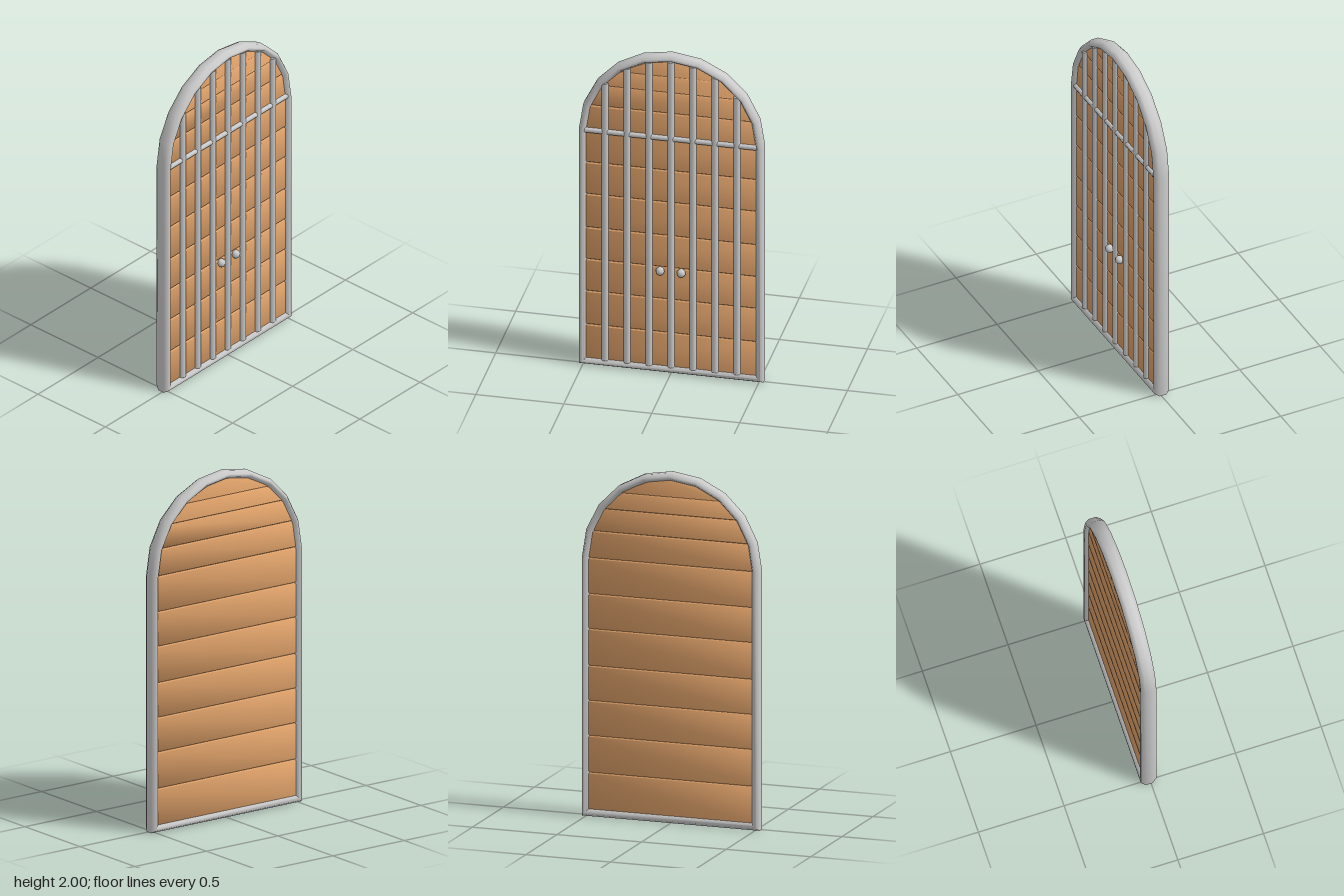
import * as THREE from 'three';
import { toCreasedNormals } from 'three/addons/utils/BufferGeometryUtils.js';

const metal = new THREE.MeshStandardMaterial({ color: 0xcccccc });
const wood = new THREE.MeshStandardMaterial({ color: 0xe0a26a });
const HALF = 0.525, SPRING = 1.475; // arch radius and springing height

function part(parent, name, geometry, material, x = 0, y = 0, z = 0) {
  const mesh = new THREE.Mesh(geometry, material);
  mesh.name = name;
  mesh.position.set(x, y, z);
  parent.add(mesh);
  return mesh;
}

// Outline of the door, moved inward by `inset`, counter-clockwise
function outline(inset) {
  const r = HALF - inset;
  const points = [[-r, inset], [r, inset]];
  for (let i = 0; i <= 10; i++) {
    const a = (i * Math.PI) / 10;
    points.push([r * Math.cos(a), SPRING + r * Math.sin(a)]);
  }
  return points;
}

// Eight-sided frame section swept around the outline
function frameGeometry() {
  const section = [
    [0, -0.03], [0, 0.01], [0.015, 0.035], [0.03, 0.035],
    [0.045, 0.01], [0.045, -0.03], [0.03, -0.055], [0.015, -0.055],
  ];
  const loops = section.map(([inset, z]) => outline(inset).map(([x, y]) => [x, y, z]));
  const positions = [];
  const count = loops[0].length;
  for (let s = 0; s < section.length; s++) {
    const near = loops[s], far = loops[(s + 1) % section.length];
    for (let i = 0; i < count; i++) {
      const j = (i + 1) % count;
      for (const p of [near[i], near[j], far[j], near[i], far[j], far[i]]) positions.push(...p);
    }
  }
  const geometry = new THREE.BufferGeometry();
  geometry.setAttribute('position', new THREE.Float32BufferAttribute(positions, 3));
  return toCreasedNormals(geometry, 1.2);
}

// Half width of the planking at height y; ends are buried in the frame
function plankHalf(y) {
  return y <= SPRING ? 0.5 : Math.sqrt(0.25 - (y - SPRING) ** 2);
}

// Chamfered plank, trimmed to the arch
function plankGeometry(y0, y1) {
  const a = plankHalf(y0), b = plankHalf(y1);
  const shape = new THREE.Shape([
    new THREE.Vector2(-a, y0), new THREE.Vector2(a, y0),
    new THREE.Vector2(b, y1), new THREE.Vector2(-b, y1),
  ]);
  const geometry = new THREE.ExtrudeGeometry(shape, {
    depth: 0.034, bevelThickness: 0.008, bevelSize: 0.007, bevelOffset: -0.007, bevelSegments: 1,
  });
  return toCreasedNormals(geometry, 1);
}

export function createModel() {
  const door = new THREE.Group();
  door.name = 'archedDoor';

  part(door, 'frame', frameGeometry(), metal);

  // Horizontal planks
  const planks = new THREE.Group();
  planks.name = 'planks';
  door.add(planks);
  const joints = [0.03, 0.25, 0.46, 0.66, 0.86, 1.07, 1.27, SPRING, 1.63, 1.76, 1.86, 1.97];
  for (let i = 0; i < joints.length - 1; i++) {
    part(planks, 'plank' + (i + 1), plankGeometry(joints[i], joints[i + 1]), wood, 0, 0, -0.027);
  }

  // Vertical bars, reaching up into the arch
  const grille = new THREE.Group();
  grille.name = 'grille';
  door.add(grille);
  for (let i = -3; i <= 3; i++) {
    const x = i * 0.125, bottom = 0.04;
    const top = SPRING + Math.sqrt(0.485 ** 2 - x * x);
    const bar = new THREE.CylinderGeometry(0.02, 0.02, top - bottom, 8);
    part(grille, 'verticalBar' + (i + 4), bar, metal, x, (top + bottom) / 2, 0.015);
  }

  // Cross bar at the springing of the arch
  const crossBar = part(grille, 'crossBar', new THREE.CylinderGeometry(0.016, 0.016, 0.98, 8), metal, 0, SPRING, 0.015);
  crossBar.rotation.z = Math.PI / 2;

  // Pair of knobs
  for (const side of [-1, 1]) {
    part(door, side > 0 ? 'leftKnob' : 'rightKnob', new THREE.SphereGeometry(0.025, 8, 6), metal, side * 0.06, 0.64, 0.025);
  }
  return door;
}
